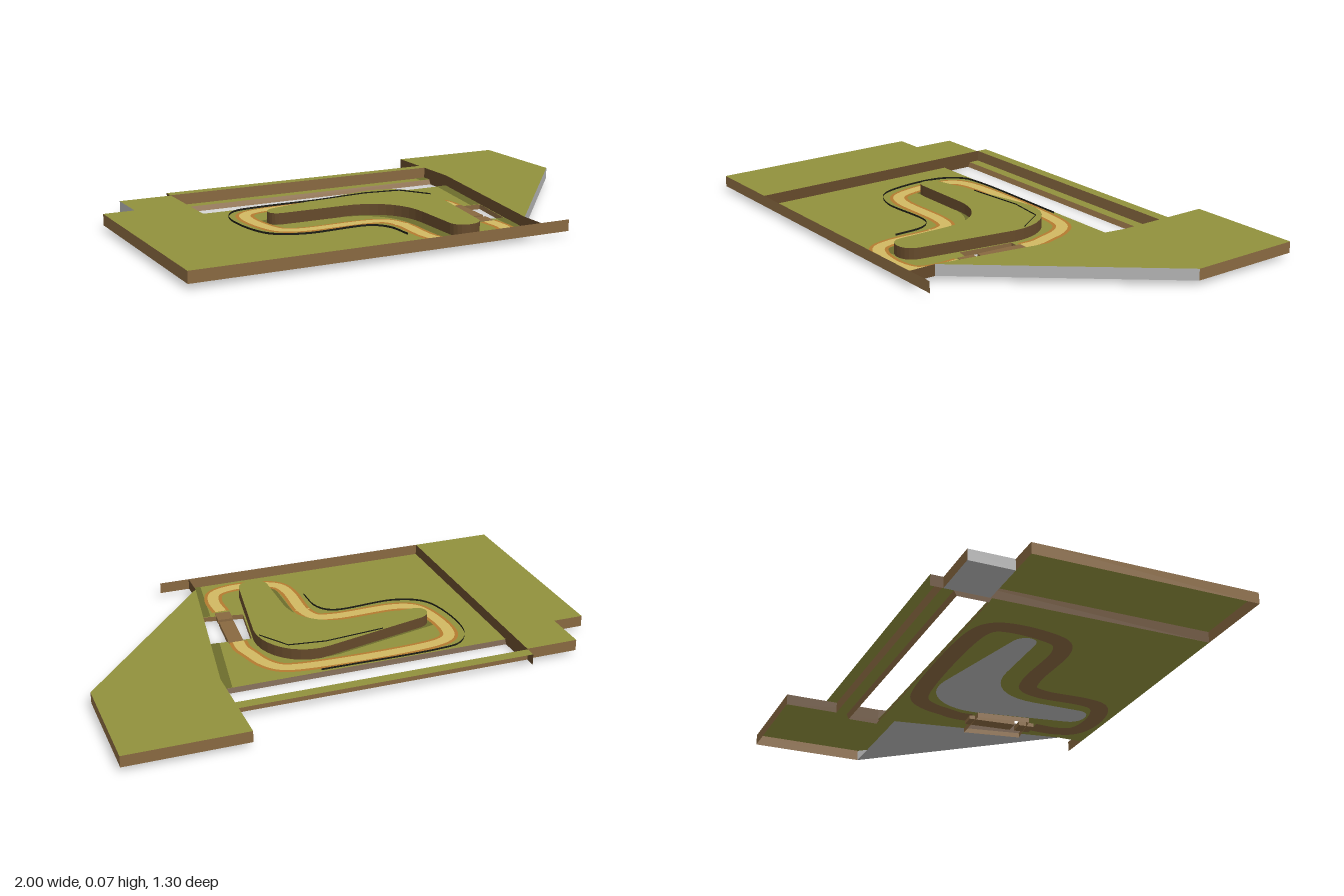
import * as THREE from 'three';

const mat = (name, color) => {
  const m = new THREE.MeshStandardMaterial({ color, side: THREE.DoubleSide });
  m.name = name;
  return m;
};

const TOP = 0.065, FLOOR = 0.02;

export function createModel() {
  const grass = mat('grass', 0x90903c);
  const shadeGrass = mat('dark grass', 0x6c6c2c);
  const earth = mat('earth', 0x886840);
  const darkEarth = mat('dark earth', 0x64492a);
  const stone = mat('stone', 0xb4b4b4);
  const sand = mat('sand', 0xd0b862);
  const verge = mat('verge', 0xb47a30);
  const black = mat('black', 0x1c1c14);

  const model = new THREE.Group();
  model.name = 'raceTrackGround';
  const add = (name, geometry, material) => {
    const mesh = new THREE.Mesh(geometry, material);
    mesh.name = name;
    model.add(mesh);
    return mesh;
  };

  // Horizontal plate from [x, z] points
  const toShape = (pts) => new THREE.Shape(pts.map(([x, z]) => new THREE.Vector2(x, -z)));
  const plate = (name, pts, y, material, holes = []) => {
    const shape = Array.isArray(pts) ? toShape(pts) : pts;
    holes.forEach((h) => shape.holes.push(toShape(h)));
    const g = new THREE.ShapeGeometry(shape);
    g.rotateX(-Math.PI / 2);
    g.translate(0, y, 0);
    return add(name, g, material);
  };
  const rect = (x0, x1, z0, z1) => [[x0, z1], [x1, z1], [x1, z0], [x0, z0]];

  // Strip joining two rows of [x, y, z] points
  const strip = (name, rowA, rowB, material) => {
    const pos = [], index = [];
    rowA.forEach((a, i) => {
      pos.push(...a, ...rowB[i]);
      if (i) index.push(2 * i - 2, 2 * i, 2 * i - 1, 2 * i - 1, 2 * i, 2 * i + 1);
    });
    let g = new THREE.BufferGeometry();
    g.setAttribute('position', new THREE.Float32BufferAttribute(pos, 3));
    g.setIndex(index);
    g = g.toNonIndexed();
    g.computeVertexNormals();
    return add(name, g, material);
  };
  // Upright wall along [x, z] points
  const wall = (name, pts, y0, y1, material) =>
    strip(name, pts.map(([x, z]) => [x, y1, z]), pts.map(([x, z]) => [x, y0, z]), material);

  // Floor with the jump pit cut out
  const pit = [[0.29, 0.11], [0.465, 0.12], [0.425, 0.36], [0.258, 0.33]];
  plate('floor', [[-0.66, 0.65], [0.4, 0.65], [0.4, 0.54], [0.525, -0.25], [-0.66, -0.25]],
    FLOOR, grass, [pit]);
  wall('pitWall', [...pit, pit[0]], 0, FLOOR, earth);

  // Left plateau
  plate('leftPlateau', [[-1, 0.65], [-0.66, 0.65], [-0.66, -0.43], [-0.875, -0.43],
    [-0.875, -0.25], [-1, -0.25]], TOP, grass);
  wall('leftPlateauInnerWall', [[-0.66, 0.65], [-0.66, -0.48]], FLOOR, TOP, darkEarth);
  wall('leftPlateauOuterWall', [[-1, 0.65], [-1, -0.25], [-0.875, -0.25]], FLOOR, TOP, earth);
  wall('leftStepSide', [[-0.875, -0.25], [-0.875, -0.43]], FLOOR, TOP, stone);
  wall('leftStepBack', [[-0.875, -0.43], [-0.66, -0.43]], FLOOR, TOP, earth);
  plate('leftStepBase', rect(-0.875, -0.66, -0.43, -0.25), FLOOR, stone);

  // Right plateau
  plate('rightPlateau', [[0.4, 0.54], [1, -0.18], [1, -0.65], [0.525, -0.65], [0.525, -0.25]],
    TOP, grass);
  wall('rightPlateauCut', [[0.4, 0.54], [1, -0.18]], FLOOR, TOP, stone);
  wall('rightPlateauOuterWall', [[1, -0.18], [1, -0.65], [0.525, -0.65]], FLOOR, TOP, earth);
  wall('rightPlateauInnerWall', [[0.525, -0.65], [0.525, -0.25], [0.4, 0.54], [0.4, 0.65]],
    FLOOR, TOP, darkEarth);
  plate('rightPlateauBase', [[0.4, 0.54], [1, -0.18], [0.514, -0.18]], FLOOR, stone);

  // Front wall
  wall('frontWall', [[-1, 0.65], [0.525, 0.65]], FLOOR, TOP, earth);

  // Back bank, ledge and open trench
  plate('backBank', rect(-0.66, 0.525, -0.48, -0.435), TOP, grass);
  wall('backBankWall', [[-0.66, -0.435], [0.525, -0.435]], FLOOR, TOP, earth);
  plate('backLedge', rect(-0.66, 0.525, -0.435, -0.39), FLOOR, grass);
  [[-0.39, -0.38, earth], [-0.245, -0.256, darkEarth]].forEach(([zTop, zLow, m]) =>
    strip('trenchSide', [[-0.66, FLOOR, zTop], [0.525, FLOOR, zTop]],
      [[-0.66, 0, zLow], [0.525, 0, zLow]], m));
  [-0.66, 0.525].forEach((x) =>
    strip('trenchEnd', [[x, FLOOR, -0.39], [x, FLOOR, -0.245]],
      [[x, 0, -0.38], [x, 0, -0.256]], darkEarth));

  // Central island
  const island = new THREE.Shape();
  island.moveTo(-0.385, -0.055);
  island.lineTo(-0.12, -0.055);
  island.bezierCurveTo(0, -0.055, 0.1, -0.13, 0.1, -0.28);
  island.lineTo(0.1, -0.49);
  island.bezierCurveTo(0.1, -0.56, 0.215, -0.56, 0.225, -0.49);
  island.lineTo(0.288, -0.09);
  island.bezierCurveTo(0.3, 0.05, 0.19, 0.17, 0.05, 0.138);
  island.lineTo(-0.385, 0.036);
  island.bezierCurveTo(-0.445, 0.02, -0.445, -0.055, -0.385, -0.055);
  const outline = island.getPoints(10).map((p) => [p.x, -p.y]);
  plate('islandTop', outline, TOP, grass);
  plate('islandBase', outline, FLOOR - 0.002, stone);
  wall('islandWall', outline, FLOOR, TOP, darkEarth);
  wall('islandRail', [[-0.2, -0.075], [0.05, -0.1], [0.2, -0.08], [0.28, 0.04]],
    TOP, 0.07, black);

  // Darker grass beside the raised ground
  plate('islandDarkGrass', outline.map(([x, z]) => [x - 0.045, z]), FLOOR + 0.001, shadeGrass);
  [
    [[0.48, -0.25], [0.525, -0.25], [0.466, 0.12], [0.422, 0.117]],
    [[0.39, 0.357], [0.428, 0.36], [0.4, 0.54], [0.4, 0.65], [0.35, 0.65]],
    rect(0.48, 0.525, -0.435, -0.39),
  ].forEach((p) => plate('bankDarkGrass', p, FLOOR + 0.001, shadeGrass));

  // Track ribbon, open at the jump pit
  const path = new THREE.CatmullRomCurve3([
    [0.337, 0.385], [0.338, 0.49], [0.31, 0.56], [0.23, 0.59], [0.1, 0.578], [0.035, 0.54],
    [0.015, 0.47], [0.014, 0.27], [-0.015, 0.2], [-0.09, 0.178], [-0.36, 0.175], [-0.43, 0.145],
    [-0.46, 0.08], [-0.476, -0.08], [-0.455, -0.15], [-0.39, -0.185], [0.19, -0.185],
    [0.265, -0.16], [0.31, -0.1], [0.335, -0.02], [0.352, 0.04], [0.35, 0.1],
  ].map(([x, z]) => new THREE.Vector3(x, 0, z)), false, 'centripetal');
  const ribbon = (name, from, to, y, material) => {
    const rows = [from, to].map((off) => {
      const row = [];
      for (let i = 0; i <= 140; i++) {
        const p = path.getPointAt(i / 140), t = path.getTangentAt(i / 140);
        row.push([p.x - t.z * off, y, p.z + t.x * off]);
      }
      return row;
    });
    strip(name, rows[0], rows[1], material);
  };
  ribbon('trackVerge', -0.037, 0.037, FLOOR + 0.002, verge);
  ribbon('trackSurface', -0.023, 0.023, FLOOR + 0.003, sand);
  ribbon('trackUnderside', -0.037, 0.037, FLOOR - 0.001, earth);
  strip('startLine', [[-0.018, 0.0245, 0.277], [0.045, 0.0245, 0.277]],
    [[-0.018, 0.0245, 0.283], [0.045, 0.0245, 0.283]], sand);

  // Planks over the pit
  [[0.35, 0.19, 0.06, 0.2], [0.337, 0.342, 0.062, 0.066]].forEach(([x, z, w, d]) => {
    const plank = add('jumpPlank', new THREE.BoxGeometry(w, 0.018, d), earth);
    plank.position.set(x, 0.013, z);
    plank.rotation.y = -0.08;
  });

  // Low barrier outside the bends
  const barrier = new THREE.CatmullRomCurve3([
    [-0.04, 0.42], [-0.05, 0.29], [-0.1, 0.235], [-0.38, 0.235], [-0.49, 0.18],
    [-0.535, 0.05], [-0.53, -0.14], [-0.47, -0.22], [-0.38, -0.238], [0.12, -0.238],
  ].map(([x, z]) => new THREE.Vector3(x, 0, z)), false, 'centripetal');
  wall('trackBarrier', barrier.getSpacedPoints(60).map((p) => [p.x, p.z]),
    FLOOR, FLOOR + 0.008, black);

  return model;
}
